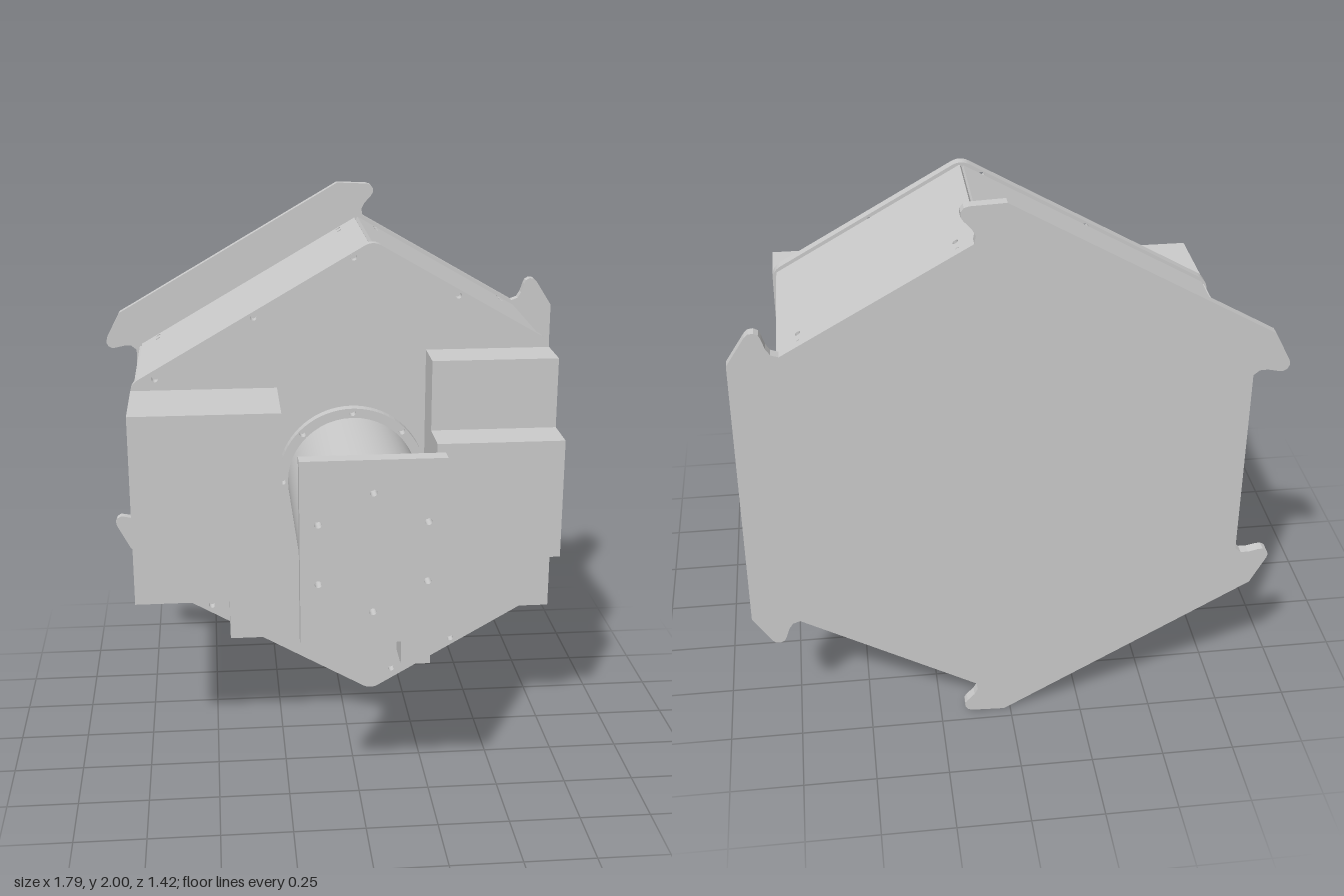
import * as THREE from 'three';

const CX = 0.023, CY = 1.0;           // axis of the three-fold body
const LONG = 0.727, SHORT = 0.803;    // axis to long / short sides
const Z_BACK = -0.71, Z_BODY = -0.675, Z_PLATE = -0.095, Z_FRONT = -0.06;

const mat = new THREE.MeshStandardMaterial({ color: 0xcccccc, side: THREE.DoubleSide });

function add(group, name, geometry) {
  const mesh = new THREE.Mesh(geometry, mat);
  mesh.name = name;
  group.add(mesh);
  return mesh;
}

function box(group, name, x0, x1, y0, y1, z0, z1) {
  add(group, name, new THREE.BoxGeometry(x1 - x0, y1 - y0, z1 - z0))
    .position.set((x0 + x1) / 2, (y0 + y1) / 2, (z0 + z1) / 2);
}

function drill(shape, holes, r = 0.012) {
  for (const [x, y] of holes) {
    const path = new THREE.Path();
    path.absarc(x, y, r, 0, Math.PI * 2, true);
    shape.holes.push(path);
  }
  return shape;
}

function extrude(shape, depth) {
  return new THREE.ExtrudeGeometry(shape, { depth, bevelEnabled: false, curveSegments: 10 });
}

// repeats one side's points three times around the axis
function threeFold(points) {
  const out = [];
  for (let k = 0; k < 3; k++) {
    const c = Math.cos(k * Math.PI * 2 / 3), s = Math.sin(k * Math.PI * 2 / 3);
    for (const [x, y] of points) out.push(new THREE.Vector2(x * c - y * s, x * s + y * c));
  }
  return out;
}

// hexagon with alternating side lengths and rounded corners
function hexShape(inset, r) {
  const a = LONG - inset, b = SHORT - inset;
  const y = (b - a / 2) / (Math.sqrt(3) / 2);
  const pts = threeFold([[a, -y], [a, y]]);
  const shape = new THREE.Shape();
  pts.forEach((p, i) => {
    const prev = pts[(i + 5) % 6], next = pts[(i + 1) % 6];
    const p0 = p.clone().add(prev.clone().sub(p).setLength(r));
    const p1 = p.clone().add(next.clone().sub(p).setLength(r));
    if (i === 0) shape.moveTo(p0.x, p0.y); else shape.lineTo(p0.x, p0.y);
    shape.quadraticCurveTo(p.x, p.y, p1.x, p1.y);
  });
  shape.closePath();
  return shape;
}

export function createModel() {
  const model = new THREE.Group();
  model.name = 'hexagonalDriveUnit';

  // back plate with pairs of rounded horns on its three long sides
  const horn = [[0.867, 0.5], [0.805, 0.597], [0.793, 0.608], [0.776, 0.61], [0.762, 0.602],
    [0.755, 0.588], [0.744, 0.553], [0.73, 0.531], [0.705, 0.522]];
  const lower = horn.map(([x, y]) => [x, -y]).reverse();
  add(model, 'backPlate', extrude(new THREE.Shape(threeFold([...lower, ...horn])), Z_BODY - Z_BACK))
    .position.set(CX, CY, Z_BACK);

  // housing core behind the panels
  add(model, 'housingCore', extrude(hexShape(0.035, 0.02), Z_PLATE - Z_BODY))
    .position.set(CX, CY, Z_BODY);

  // six side panels, long and short in turn
  for (let i = 0; i < 6; i++) {
    const long = i % 2 === 0;
    const h = long ? 0.49 : 0.365, d = (long ? LONG : SHORT) - 0.012;
    const panel = new THREE.Shape([[-h, Z_BODY], [h, Z_BODY], [h, Z_PLATE], [-h, Z_PLATE]]
      .map(([x, y]) => new THREE.Vector2(x, y)));
    const u = h - 0.077;
    drill(panel, [[u, -0.6], [u, -0.652], [-u, -0.6], [-u, -0.652]], 0.01);
    const geo = extrude(panel, 0.025);
    const a = i * Math.PI / 3;
    const out = new THREE.Vector3(Math.cos(a), Math.sin(a), 0);
    const along = new THREE.Vector3(-Math.sin(a), Math.cos(a), 0);
    geo.applyMatrix4(new THREE.Matrix4().makeBasis(along, new THREE.Vector3(0, 0, 1), out));
    add(model, long ? 'longSidePanel' : 'shortSidePanel', geo)
      .position.set(CX + out.x * (d - 0.025), CY + out.y * (d - 0.025), 0);
  }

  // front plate with screw holes
  const screws = [[0.03, 1.825], [-0.33, 1.615], [0.41, 1.68], [-0.69, 1.395],
    [-0.69, 0.6], [-0.51, 0.5], [0.41, 0.325], [0.18, 0.205]];
  const front = drill(hexShape(0, 0.035), screws.map(([x, y]) => [x - CX, y - CY]));
  add(model, 'frontPlate', extrude(front, Z_FRONT - Z_PLATE)).position.set(CX, CY, Z_PLATE);

  // equipment boxes on the front plate
  box(model, 'largeBox', -0.78, -0.25, 0.655, 1.352, Z_FRONT, 0.265);
  box(model, 'tallBox', 0.295, 0.75, 0.525, 1.482, Z_FRONT, 0.105);
  box(model, 'tallBoxStep', 0.295, 0.75, 0.785, 1.225, 0.105, 0.265);
  box(model, 'smallBoxRight', -0.443, -0.27, 0.435, 0.655, Z_FRONT, 0.105);
  box(model, 'smallBoxLeft', 0.2, 0.312, 0.285, 0.525, Z_FRONT, 0.075);

  // column with a drilled flange at its foot
  const ring = (r, n, start) => Array.from({ length: n }, (_, i) => {
    const a = start + i * Math.PI * 2 / n;
    return [r * Math.cos(a), r * Math.sin(a)];
  });
  const disc = new THREE.Shape();
  disc.absarc(0, 0, 0.274, 0, Math.PI * 2, false);
  drill(disc, ring(0.258, 8, 0));
  const flange = new THREE.ExtrudeGeometry(disc, { depth: 0.04, bevelEnabled: false, curveSegments: 36 });
  add(model, 'columnFlange', flange).position.set(CX, 1.003, Z_FRONT);
  const column = new THREE.CylinderGeometry(0.239, 0.239, 0.675, 48);
  column.rotateX(Math.PI / 2);
  add(model, 'column', column).position.set(CX, 1.003, 0.3175);

  // rectangular end plate with six holes
  const end = new THREE.Shape([[-0.24, -0.32], [0.24, -0.32], [0.24, 0.32], [-0.24, 0.32]]
    .map(([x, y]) => new THREE.Vector2(x, y)));
  drill(end, ring(0.208, 6, Math.PI / 6));
  add(model, 'endPlate', extrude(end, 0.055)).position.set(CX, 1.003, 0.655);

  return model;
}
